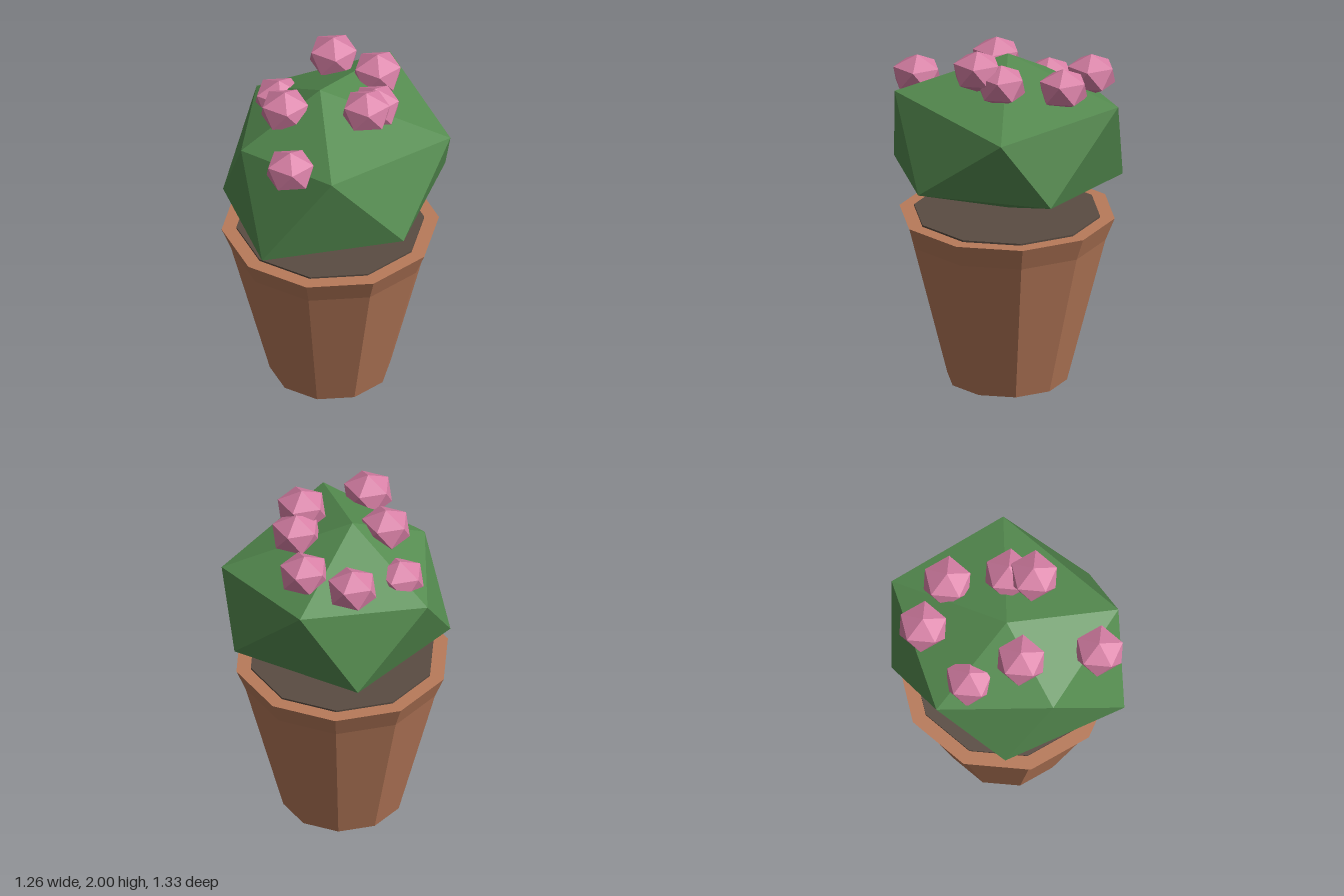
import * as THREE from 'three';

const material = (name, color) => {
  const m = new THREE.MeshStandardMaterial({ color, flatShading: true });
  m.name = name;
  return m;
};

// Twenty-sided faceted solid: apex, ring of five, staggered ring of five, base point
function facetedSolid(top, upper, lower, bottom) {
  const pos = [];
  for (let i = 0; i < 5; i++) {
    const j = (i + 1) % 5;
    pos.push(...top, ...upper[j], ...upper[i]);
    pos.push(...upper[i], ...upper[j], ...lower[i]);
    pos.push(...upper[j], ...lower[j], ...lower[i]);
    pos.push(...bottom, ...lower[i], ...lower[j]);
  }
  const g = new THREE.BufferGeometry();
  g.setAttribute('position', new THREE.Float32BufferAttribute(pos, 3));
  g.computeVertexNormals();
  return g;
}

// Regular five-point ring used by the blossoms
function ring(radius, y, offset) {
  return Array.from({ length: 5 }, (_, i) => {
    const a = offset + (i * Math.PI * 2) / 5;
    return [Math.cos(a) * radius, y, Math.sin(a) * radius];
  });
}

export function createModel() {
  const group = new THREE.Group();
  const terracotta = material('terracotta', 0xb87a5a);
  const earth = material('earth', 0x5a4c42);
  const leafGreen = material('leaf green', 0x558c50);
  const petalPink = material('petal pink', 0xd880a6);

  const add = (name, geometry, mat, x = 0, y = 0, z = 0) => {
    const mesh = new THREE.Mesh(geometry, mat);
    mesh.name = name;
    mesh.position.set(x, y, z);
    group.add(mesh);
  };

  // Ten-sided pot with a flared rim and a soil disc
  const px = -0.033, pz = -0.01;
  add('potBody', new THREE.CylinderGeometry(0.55, 0.335, 0.84, 10), terracotta, px, 0.42, pz);
  add('potRim', new THREE.CylinderGeometry(0.602, 0.55, 0.13, 10), terracotta, px, 0.905, pz);
  add('soil', new THREE.CylinderGeometry(0.52, 0.52, 0.02, 10), earth, px, 0.97, pz);

  // Irregular faceted bush
  add('foliage', facetedSolid(
    [-0.09, 1.885, -0.005],
    [[0.628, 1.61, -0.09], [0.11, 1.70, 0.595], [-0.47, 1.62, 0.288], [-0.526, 1.585, -0.354], [0.159, 1.705, -0.665]],
    [[0.473, 1.233, 0.40], [-0.268, 1.17, 0.663], [-0.628, 1.145, 0.037], [-0.159, 1.19, -0.635], [0.54, 1.23, -0.354]],
    [-0.034, 0.995, -0.02],
  ), leafGreen);

  // Blossoms scattered over the top of the bush
  const r = 0.148, h = 0.119;
  const blossom = facetedSolid(
    [0, h, 0],
    ring(r * 0.894, h * 0.447, 0),
    ring(r * 0.894, -h * 0.447, Math.PI / 5),
    [0, -h, 0],
  );
  const spots = [
    [0.199, 1.881, 0.117],
    [0.22, 1.815, -0.022],
    [0.155, 1.79, -0.358],
    [-0.118, 1.782, -0.467],
    [-0.363, 1.65, -0.187],
    [-0.268, 1.79, 0.09],
    [-0.143, 1.705, 0.513],
  ];
  spots.forEach((p, i) => add(`blossom${i + 1}`, blossom, petalPink, ...p));

  return group;
}
